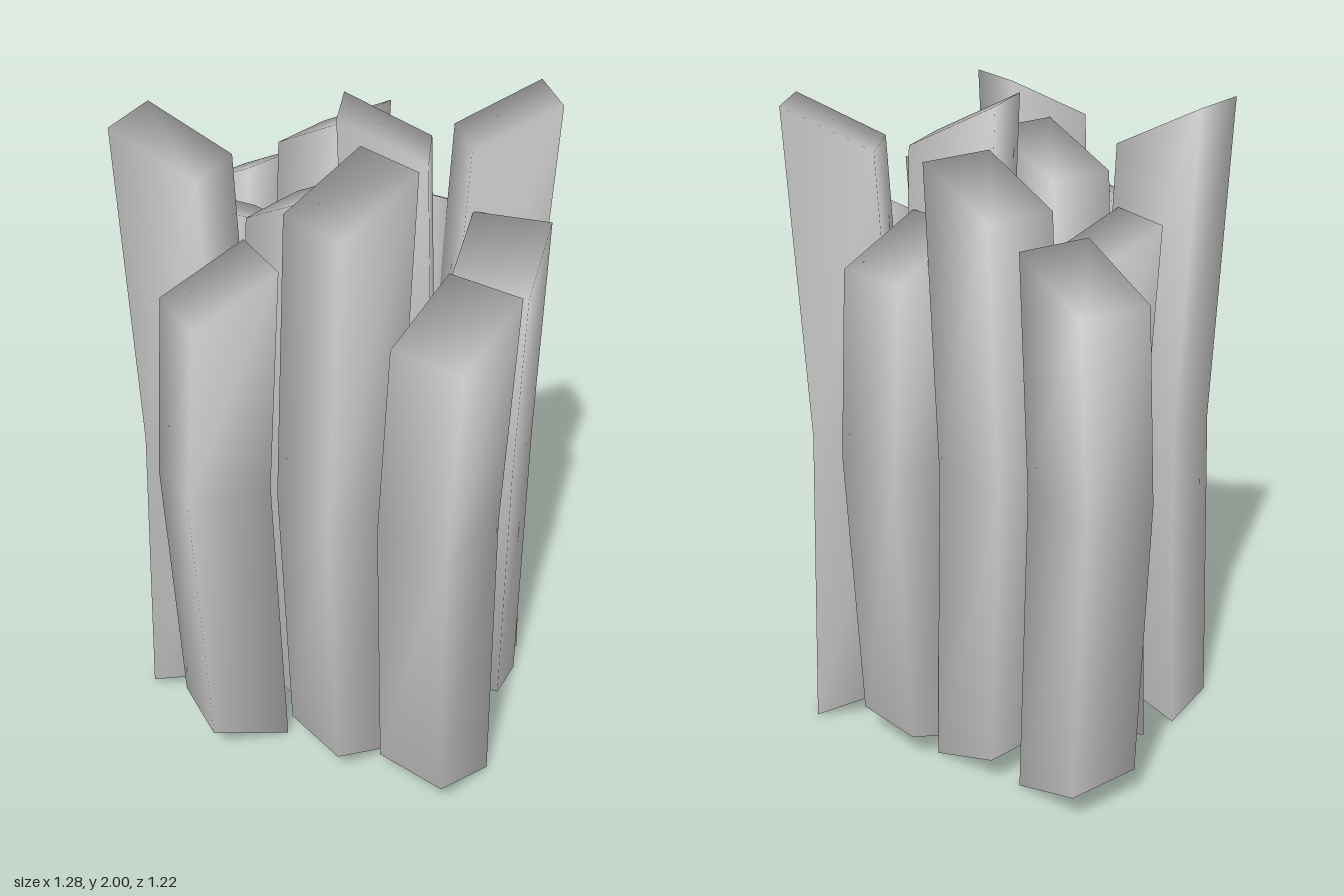
import * as THREE from 'three';
import { mergeVertices } from 'three/addons/utils/BufferGeometryUtils.js';

const WIDTH = 0.235, DEPTH = 0.26, BEND = 0.02;

// Bent block: the middle ring bulges towards local +z, both ends slope away to the -z side
function columnGeometry(height) {
  const box = new THREE.BoxGeometry(WIDTH, 2, DEPTH, 1, 2, 1);
  box.deleteAttribute('normal');
  box.deleteAttribute('uv');
  const geo = mergeVertices(box);
  const p = geo.attributes.position;
  for (let i = 0; i < p.count; i++) {
    const ring = Math.round(p.getY(i)), z = p.getZ(i);
    const convex = z > 0;
    let y = 1;
    if (ring > 0) y = convex ? height - 0.125 : height;
    if (ring < 0) y = convex ? 0.11 : 0;
    p.setY(i, y);
    p.setZ(i, z + (ring === 0 ? BEND : -BEND));
  }
  geo.computeVertexNormals();
  return geo;
}

// x, z of the centre, direction (x, z) of the bulging side, height
const COLUMNS = [
  [-0.45, -0.445, -0.27, -0.12, 1.69],
  [-0.138, -0.41, -0.255, -0.085, 1.89],
  [0.15, -0.435, 0.08, -0.28, 1.69],
  [0.42, -0.32, -0.26, 0.13, 2],
  [-0.303, -0.128, 0.16, -0.255, 1.69],
  [0.15, -0.118, 0.29, -0.065, 2],
  [0.5, -0.023, -0.005, 0.295, 1.69],
  [-0.388, 0.175, 0.285, 0.015, 2],
  [-0.035, 0.135, -0.28, -0.09, 1.88],
  [-0.207, 0.405, -0.21, 0.21, 1.69],
  [0.168, 0.383, -0.165, 0.255, 2],
  [0.478, 0.425, -0.105, 0.28, 1.69],
];

export function createModel() {
  const group = new THREE.Group();
  group.name = 'columnCluster';
  const material = new THREE.MeshStandardMaterial({ color: 0xcccccc });
  COLUMNS.forEach(([x, z, dx, dz, height], i) => {
    const column = new THREE.Mesh(columnGeometry(height), material);
    column.name = `column${i + 1}`;
    column.position.set(x, 0, z);
    column.rotation.y = Math.atan2(dx, dz);
    group.add(column);
  });
  return group;
}
